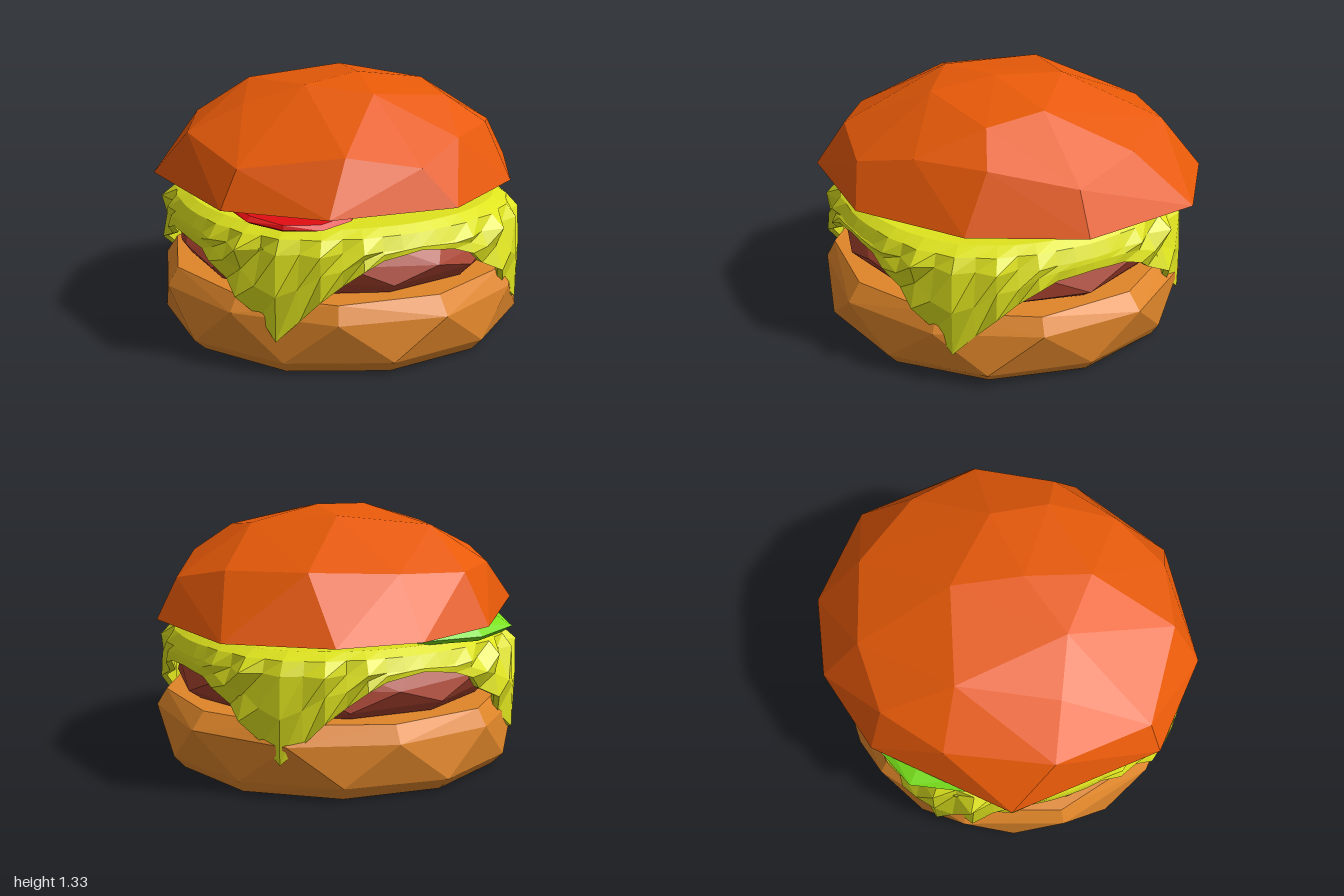
import * as THREE from 'three';
import { ConvexGeometry } from 'three/addons/geometries/ConvexGeometry.js';

const material = (name, color, extra = {}) => {
  const m = new THREE.MeshStandardMaterial({ color, flatShading: true, ...extra });
  m.name = name;
  return m;
};

// small seeded generator for the hand-cut irregularity, range -1..1
let seed = 7;
const jitter = () => {
  seed = (seed * 16807) % 2147483647;
  return (seed / 2147483647) * 2 - 1;
};

// points of one irregular ring
function ring(y, r, n, phase = 0, dr = 0.015, dy = 0, cx = 0, cz = 0) {
  return Array.from({ length: n }, (_, i) => {
    const a = ((i + phase) / n) * Math.PI * 2;
    const rr = r + jitter() * dr;
    return new THREE.Vector3(cx + Math.cos(a) * rr, y + jitter() * dy, cz + Math.sin(a) * rr);
  });
}

function hull(name, mat, ...rings) {
  const mesh = new THREE.Mesh(new ConvexGeometry(rings.flat()), mat);
  mesh.name = name;
  return mesh;
}

// height of the cheese hem by angle (degrees) away from the nearest corner
const hem = [[0, 0.185], [6.4, 0.285], [13, 0.4], [19.5, 0.46], [26, 0.54], [33, 0.58], [46, 0.61]];
function hemHeight(d) {
  const k = hem.findIndex(([a]) => a > d);
  const [a0, y0] = hem[k - 1], [a1, y1] = hem[k];
  return y0 + ((y1 - y0) * (d - a0)) / (a1 - a0);
}

// square slice draped over the patty: a skirt with four ruffled, hanging corners
function cheeseGeometry() {
  const n = 56, m = 10, pos = [], index = [];
  for (let i = 0; i < n; i++) {
    const deg = (i * 360) / n;
    const a = (deg * Math.PI) / 180;
    const d = Math.abs((deg % 90) - 45);
    const near = Math.max(0, 1 - d / 34);
    const ruffle = d < 3 ? 0 : Math.min(1, near * 2);
    const fold = ruffle * ((i % 2 ? 0.028 : -0.028) + jitter() * 0.012);
    // the left and right sides hang a little lower than front and back
    const low = hemHeight(d) - (Math.abs(Math.cos(a)) > 0.72 ? d / 900 : 0);
    const rLow = 0.885 + 0.085 * near + fold;
    const profile = [
      [0, 0.715],
      [0.8 + 0.03 * near, 0.718],
      [0.85 + 0.06 * near + fold * 0.3, 0.685],
      [0.88 + 0.08 * near + fold * 1.2, Math.max(0.62, low + 0.02)],
      [0.885 + 0.085 * near - fold * 0.5, low + (0.64 - low) * 0.5],
      [rLow, low],
      [rLow - 0.03, low + 0.005],
      [0.84 + 0.08 * near, 0.625],
      [0.76, 0.665],
      [0, 0.665],
    ];
    for (const [r, y] of profile) pos.push(Math.cos(a) * r - 0.015, y, Math.sin(a) * r + 0.02);
    for (let j = 0; j < m - 1; j++) {
      const p = i * m + j, q = ((i + 1) % n) * m + j;
      index.push(p, q + 1, q, p, p + 1, q + 1);
    }
  }
  const g = new THREE.BufferGeometry();
  g.setAttribute('position', new THREE.Float32BufferAttribute(pos, 3));
  g.setIndex(index);
  g.computeVertexNormals();
  return g;
}

export function createModel() {
  seed = 7;
  const group = new THREE.Group();
  group.name = 'burger';
  const crust = material('toastedOrange', 0xe95a08);
  const bread = material('breadBrown', 0xe0862a);
  const cheddar = material('cheeseYellow', 0xdfe41e, { side: THREE.DoubleSide });
  const meat = material('meatBrown', 0xaa432f);
  const red = material('tomatoRed', 0xdc0c10);
  const green = material('pickleGreen', 0x78e01a);

  // bottom bun
  group.add(hull('bottomBun', bread,
    ring(0.005, 0.89, 11, 0.07, 0.01, 0, -0.015, 0.015),
    ring(0.07, 0.95, 11, 0.07, 0.015, 0.01, -0.015, 0.015),
    ring(0.285, 0.968, 11, 0.57, 0.012, 0.01, -0.015, 0.015),
    ring(0.37, 0.91, 11, 0.57, 0.01, 0, -0.015, 0.015)));

  // patty
  group.add(hull('patty', meat,
    ring(0.375, 0.79, 11, 0, 0.01, 0, -0.02, 0.02),
    ring(0.43, 0.86, 11, 0, 0.015, 0.02, -0.02, 0.02),
    ring(0.52, 0.86, 11, 0.5, 0.015, 0.02, -0.02, 0.02),
    ring(0.645, 0.76, 11, 0.25, 0.01, 0, -0.02, 0.02)));

  // cheese
  const cheese = new THREE.Mesh(cheeseGeometry(), cheddar);
  cheese.name = 'cheese';
  group.add(cheese);

  // pickle slices
  const slices = [[-0.1, 0.09, 0.47], [-0.3, -0.41, 0.46]];
  slices.forEach(([x, z, r], i) => group.add(hull('pickleSlice' + (i + 1), green,
    ring(0.717, r - 0.04, 10, 0.3 * i, 0.01, 0, x, z),
    ring(0.75, r, 10, 0.3 * i, 0.01, 0.008, x, z),
    ring(0.798, r - 0.06, 10, 0.3 * i, 0.01, 0, x, z))));

  // tomato slice, sloping down towards the front
  const tomato = hull('tomatoSlice', red,
    ring(-0.02, 0.32, 12, 0, 0.008),
    ring(0, 0.355, 12, 0, 0.008),
    ring(0.02, 0.335, 12, 0, 0.008));
  tomato.position.set(-0.48, 0.805, 0.41);
  tomato.rotation.x = 0.21;
  group.add(tomato);

  // top bun: irregular rim under a faceted dome
  const rim = [[0.08, -1], [0.5, -0.91], [0.91, -0.54], [0.97, 0.12], [0.67, 0.63],
    [0.15, 0.95], [-0.5, 0.88], [-0.89, 0.51], [-0.94, -0.31], [-0.38, -0.88]]
    .map(([x, z]) => new THREE.Vector3(x, 0.8 - 0.012 * x + 0.01 * z, z));
  const dome = [
    [0.05, 1.332, 0.1], [-0.3, 1.31, 0.2], [0.13, 1.31, -0.26], [0.46, 1.26, 0.06], [-0.03, 1.28, 0.43],
    [-0.58, 1.215, 0.07], [0.43, 1.22, 0.37], [-0.35, 1.25, -0.4], [0.5, 1.1, -0.64], [0.08, 1.08, -0.78],
    [0.86, 1, 0.11], [0.61, 1.08, 0.47], [0.3, 1.08, 0.7], [0, 1, 0.865], [-0.36, 1.07, 0.77],
    [-0.79, 1, 0.48], [-0.84, 1.07, -0.05], [0.76, 1.08, -0.27], [-0.6, 1.06, -0.55], [-0.3, 1.06, -0.78],
  ].map((p) => new THREE.Vector3(...p));
  group.add(hull('topBun', crust, rim, dome));

  return group;
}
